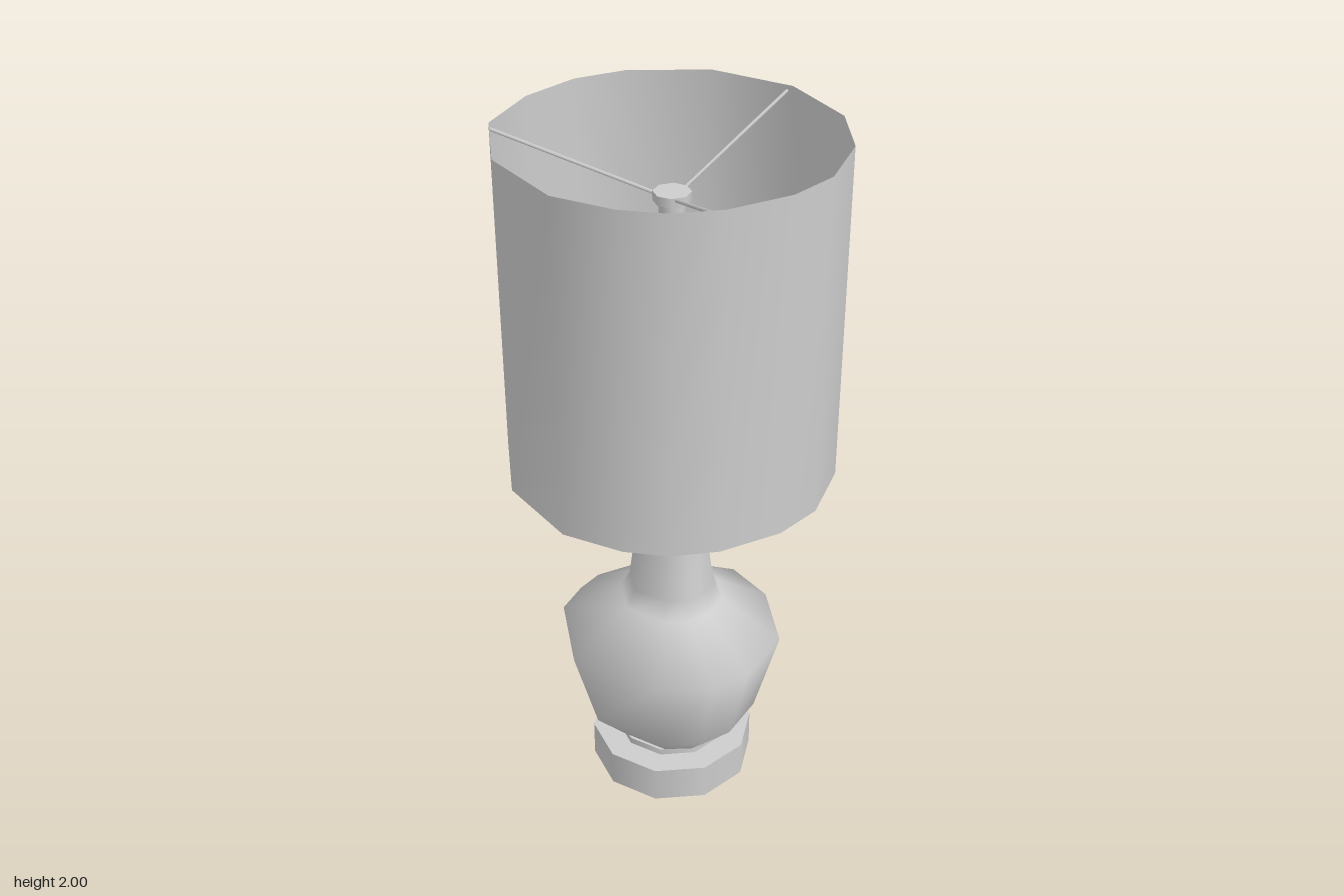
import * as THREE from 'three';

// Stacks scaled copies of an outline into a smooth skin; each ring is [y, scale]
function loft(outline, rings, capTop) {
  const n = outline.length, pos = [], index = [];
  for (const [y, s] of rings) for (const [x, z] of outline) pos.push(x * s, y, z * s);
  for (let r = 0; r < rings.length - 1; r++) {
    for (let i = 0; i < n; i++) {
      const j = (i + 1) % n, a = r * n + i, b = r * n + j;
      index.push(a, a + n, b, b, a + n, b + n);
    }
  }
  if (capTop) {
    const [y, s] = rings[rings.length - 1], c = pos.length / 3;
    pos.push(0, y, 0);
    for (const [x, z] of outline) pos.push(x * s, y, z * s);
    for (let i = 0; i < n; i++) index.push(c, c + 1 + (i + 1) % n, c + 1 + i);
  }
  const g = new THREE.BufferGeometry();
  g.setAttribute('position', new THREE.Float32BufferAttribute(pos, 3));
  g.setIndex(index);
  g.computeVertexNormals();
  return g;
}

export function createModel() {
  const group = new THREE.Group();
  const grey = new THREE.MeshStandardMaterial({ color: 0xcccccc, side: THREE.DoubleSide });
  grey.name = 'plain grey';
  const add = (name, geometry, y = 0) => {
    const m = new THREE.Mesh(geometry, grey);
    m.name = name;
    m.position.y = y;
    group.add(m);
    return m;
  };
  const disc = (name, rTop, rBottom, y0, y1, sides) =>
    add(name, new THREE.CylinderGeometry(rTop, rBottom, y1 - y0, sides), (y0 + y1) / 2);

  // Foot and the narrow collar above it
  disc('foot', 0.238, 0.238, 0, 0.11, 10);
  disc('collar', 0.165, 0.165, 0.11, 0.13, 10);

  // Faceted vase body tapering into the neck
  const bodyOutline = [[-0.07, -0.315], [0.085, -0.30], [0.265, -0.18], [0.32, 0], [0.30, 0.12],
    [0.20, 0.24], [-0.06, 0.322], [-0.27, 0.19], [-0.31, 0.09], [-0.325, 0.01], [-0.275, -0.17]];
  add('body', loft(bodyOutline, [[0.125, 0.5], [0.22, 0.78], [0.48, 1], [0.595, 0.46],
    [0.65, 0.38], [0.99, 0.25]], true));

  // Neck tip, socket and upright stem
  disc('neckTip', 0.006, 0.025, 0.99, 1.012, 6);
  disc('stemCore', 0.008, 0.008, 1.0, 1.04, 6);
  disc('socketRing', 0.042, 0.036, 1.025, 1.042, 8);
  disc('stem', 0.034, 0.034, 1.042, 1.83, 8);
  disc('hub', 0.05, 0.05, 1.825, 1.85, 8);

  // Open drum shade
  const shadeOutline = [[-0.03, -0.45], [0.20, -0.40], [0.35, -0.28], [0.44, -0.11], [0.45, 0.03],
    [0.405, 0.20], [0.335, 0.31], [0.24, 0.385], [0.08, 0.45], [-0.17, 0.423], [-0.36, 0.29],
    [-0.44, 0.11], [-0.453, -0.06], [-0.41, -0.20], [-0.26, -0.375]];
  add('shade', loft(shadeOutline, [[1.055, 1], [2, 1]], false));

  // Three spokes rising from the hub to the shade rim
  for (const [x, z] of [[-0.047, -0.448], [-0.355, 0.29], [0.385, 0.212]]) {
    const end = new THREE.Vector3(x, 1.985, z);
    const start = new THREE.Vector3(x * 0.08, 1.84, z * 0.08);
    add('spoke', new THREE.TubeGeometry(new THREE.LineCurve3(start, end), 1, 0.005, 5));
  }
  return group;
}
